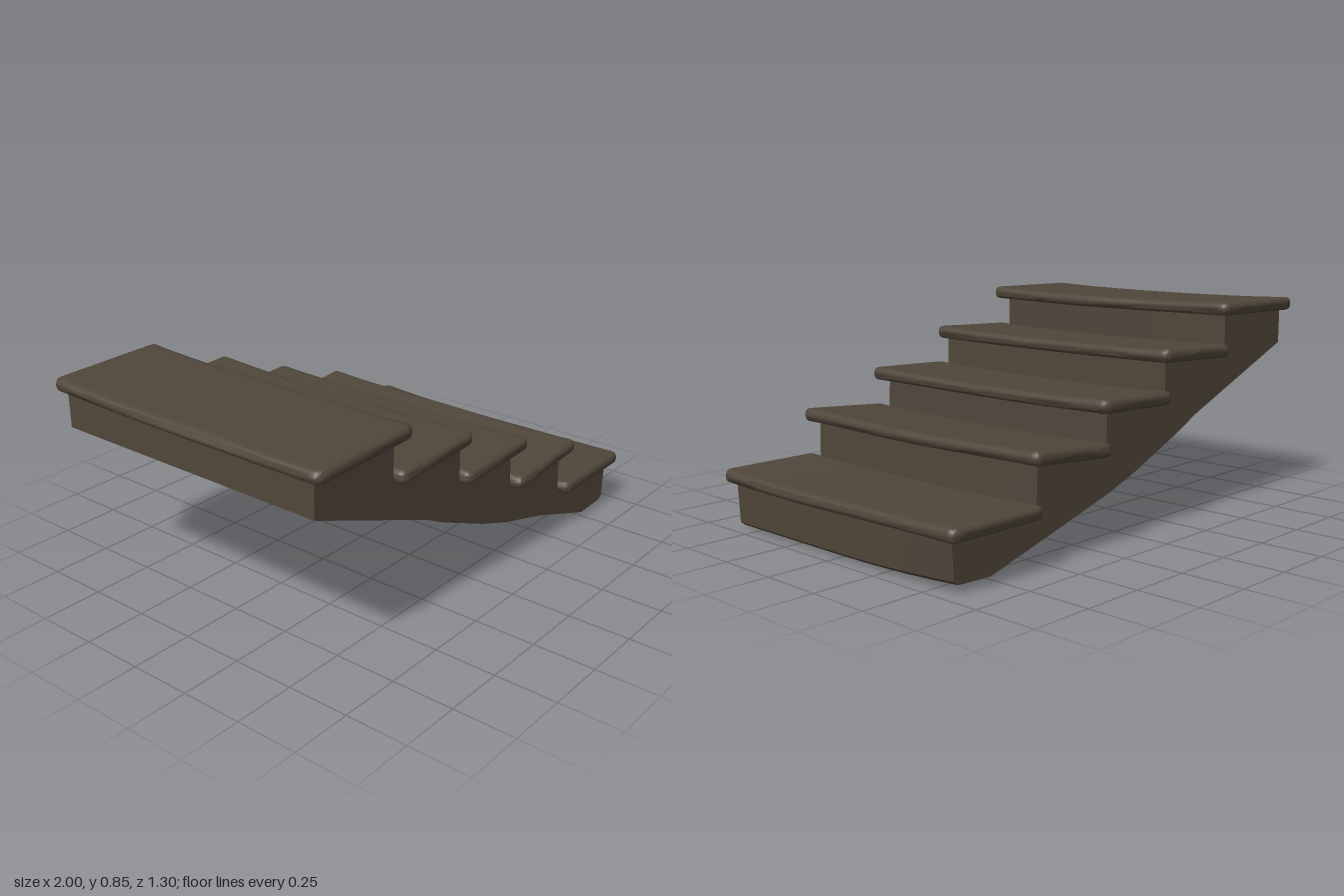
import * as THREE from 'three';
import { mergeVertices, toCreasedNormals } from 'three/addons/utils/BufferGeometryUtils.js';

// Apply a rule to every vertex
function deform(geometry, rule) {
  const pos = geometry.attributes.position;
  const p = new THREE.Vector3();
  for (let i = 0; i < pos.count; i++) {
    rule(p.fromBufferAttribute(pos, i));
    pos.setXYZ(i, p.x, p.y, p.z);
  }
  return geometry;
}

// Drop seams so that normals are smooth except at sharp edges
function smooth(geometry, angle) {
  geometry.deleteAttribute('uv');
  geometry.deleteAttribute('normal');
  return toCreasedNormals(mergeVertices(geometry, 1e-5), angle);
}

// Worn slab with rounded edges, a tilt and slightly raised ends
function treadGeometry(width, depth, tilt, phase) {
  const h = 0.048, r = 0.0235;
  const half = new THREE.Vector3(width / 2, h / 2, depth / 2);
  const inner = half.clone().subScalar(r);
  const core = new THREE.Vector3();
  const ease = (v, s) => s * Math.sin((v / s) * Math.PI / 2);
  const geometry = new THREE.BoxGeometry(width, h, depth, 20, 6, 40);
  deform(geometry, p => {
    // crowd the grid toward the edges, then round them
    p.set(ease(p.x, half.x), ease(p.y, half.y), ease(p.z, half.z));
    core.copy(p).clamp(inner.clone().negate(), inner);
    p.sub(core).setLength(r).add(core);
    // worn shape
    const e = Math.abs(p.z) / half.z;
    const corner = Math.max(0, (e - 0.95) / 0.05);
    p.x *= 1 - 0.05 * corner * corner;
    p.y *= 1 + 0.15 * e ** 6;
    p.y += tilt * p.x + 0.009 * e * e - 0.004 - 0.004 * p.z;
    p.x += 0.005 * Math.sin(p.z * 6 + phase) * (p.x > 0 ? 1 : 0.3);
  });
  return smooth(geometry, 1.0);
}

export function createModel() {
  const stairs = new THREE.Group();
  stairs.name = 'stairs';
  const wood = new THREE.MeshStandardMaterial({ color: 0x50463a });
  wood.name = 'dark brown wood';

  // Stepped body: risers above, sloping underside below
  const profile = [
    [0.78, 0.005], [0.93, 0.01], [0.95, 0.025], [0.96, 0.21],
    [0.555, 0.21], [0.55, 0.37], [0.18, 0.37], [0.175, 0.52],
    [-0.17, 0.52], [-0.172, 0.66], [-0.565, 0.66], [-0.565, 0.82],
    [-0.97, 0.82], [-0.97, 0.66], [-0.37, 0.425], [-0.27, 0.375],
    [0, 0.26], [0.16, 0.203], [0.43, 0.127],
  ].map(([x, y]) => new THREE.Vector2(x, y));
  const bodyGeometry = new THREE.ExtrudeGeometry(new THREE.Shape(profile), {
    depth: 1.2, steps: 10, bevelEnabled: false,
  });
  bodyGeometry.translate(0, 0, -0.6);
  // The foot lifts a little toward the rear
  deform(bodyGeometry, p => {
    if (p.y < 0.1 && p.x > 0.7) p.y += 0.025 * Math.max(0, -p.z / 0.6) ** 2;
  });
  const body = new THREE.Mesh(smooth(bodyGeometry, 0.5), wood);
  body.name = 'stepped body';
  stairs.add(body);

  // Treads from bottom to top: [x start, x end, centre height, tilt, depth]
  const treads = [
    [0.555, 0.995, 0.208, 0.0, 1.3],
    [0.185, 0.608, 0.382, 0.075, 1.3],
    [-0.17, 0.237, 0.521, 0.035, 1.29],
    [-0.562, -0.135, 0.666, 0.04, 1.28],
    [-1.0, -0.502, 0.823, 0.015, 1.3],
  ];
  treads.forEach(([x0, x1, y, tilt, depth], i) => {
    const tread = new THREE.Mesh(treadGeometry(x1 - x0, depth, tilt, i * 1.7), wood);
    tread.name = `tread ${i + 1}`;
    tread.position.set((x0 + x1) / 2, y, 0);
    stairs.add(tread);
  });

  return stairs;
}
